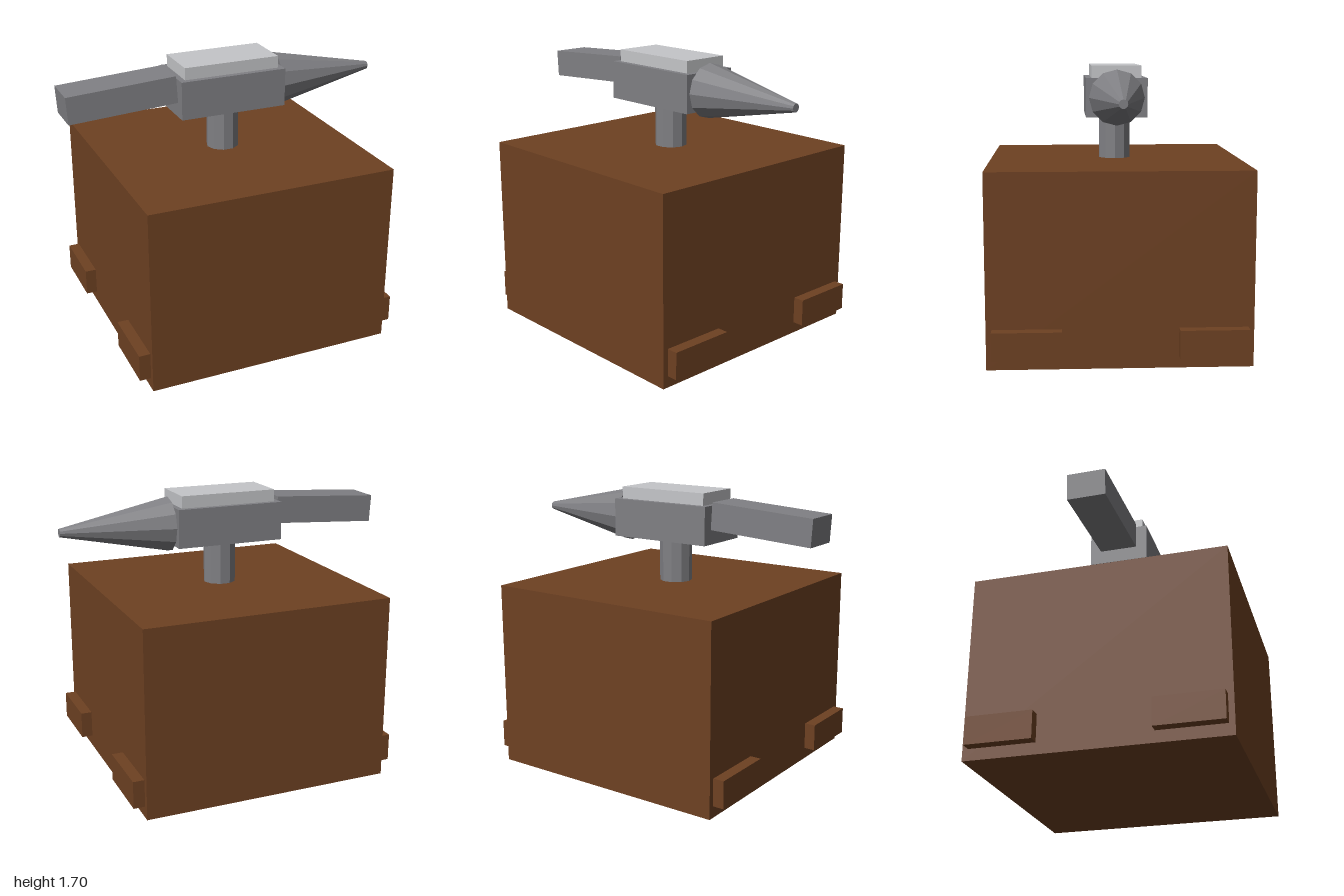
import * as THREE from 'three';

export function createModel() {
  const model = new THREE.Group();
  model.name = 'anvilOnBlock';

  const material = (name, color) => {
    const m = new THREE.MeshStandardMaterial({ color, flatShading: true });
    m.name = name;
    return m;
  };
  const wood = material('brownWood', 0x6e4122);
  const steel = material('greySteel', 0x808084);
  const polished = material('polishedSteel', 0xc5c6c9);

  const add = (name, geometry, mat, x, y, z) => {
    const mesh = new THREE.Mesh(geometry, mat);
    mesh.name = name;
    mesh.position.set(x, y, z);
    model.add(mesh);
    return mesh;
  };
  const box = (name, mat, w, h, d, x, y, z) =>
    add(name, new THREE.BoxGeometry(w, h, d), mat, x, y, z);

  // Wooden block with a cleat near each bottom corner
  box('woodenBlock', wood, 1.525, 1.13, 1.525, 0, 0.565, 0);
  for (const sx of [-1, 1]) {
    for (const sz of [-1, 1]) {
      box('sideCleat', wood, 0.13, 0.165, 0.396, sx * 0.765, 0.152, sz * 0.531);
    }
  }

  // Neck: ten sides, a corner on each of +x and -x
  const neck = add('neck', new THREE.CylinderGeometry(0.099, 0.099, 0.29, 10), steel, 0, 1.265, 0);
  neck.rotation.y = Math.PI / 2;

  // Anvil body and bright striking face
  box('anvilBody', steel, 0.664, 0.231, 0.364, 0, 1.513, 0);
  box('strikingFace', polished, 0.596, 0.075, 0.296, 0, 1.664, 0);

  // Tapered horn pointing to +x
  const horn = add('horn', new THREE.CylinderGeometry(0.025, 0.165, 0.664, 12), steel, 0.668, 1.514, 0);
  horn.rotation.z = -Math.PI / 2;

  // Slightly drooping heel pointing to -x
  const heel = box('heel', steel, 0.662, 0.165, 0.23, -0.666, 1.547, 0);
  heel.rotation.z = 0.06;

  return model;
}
